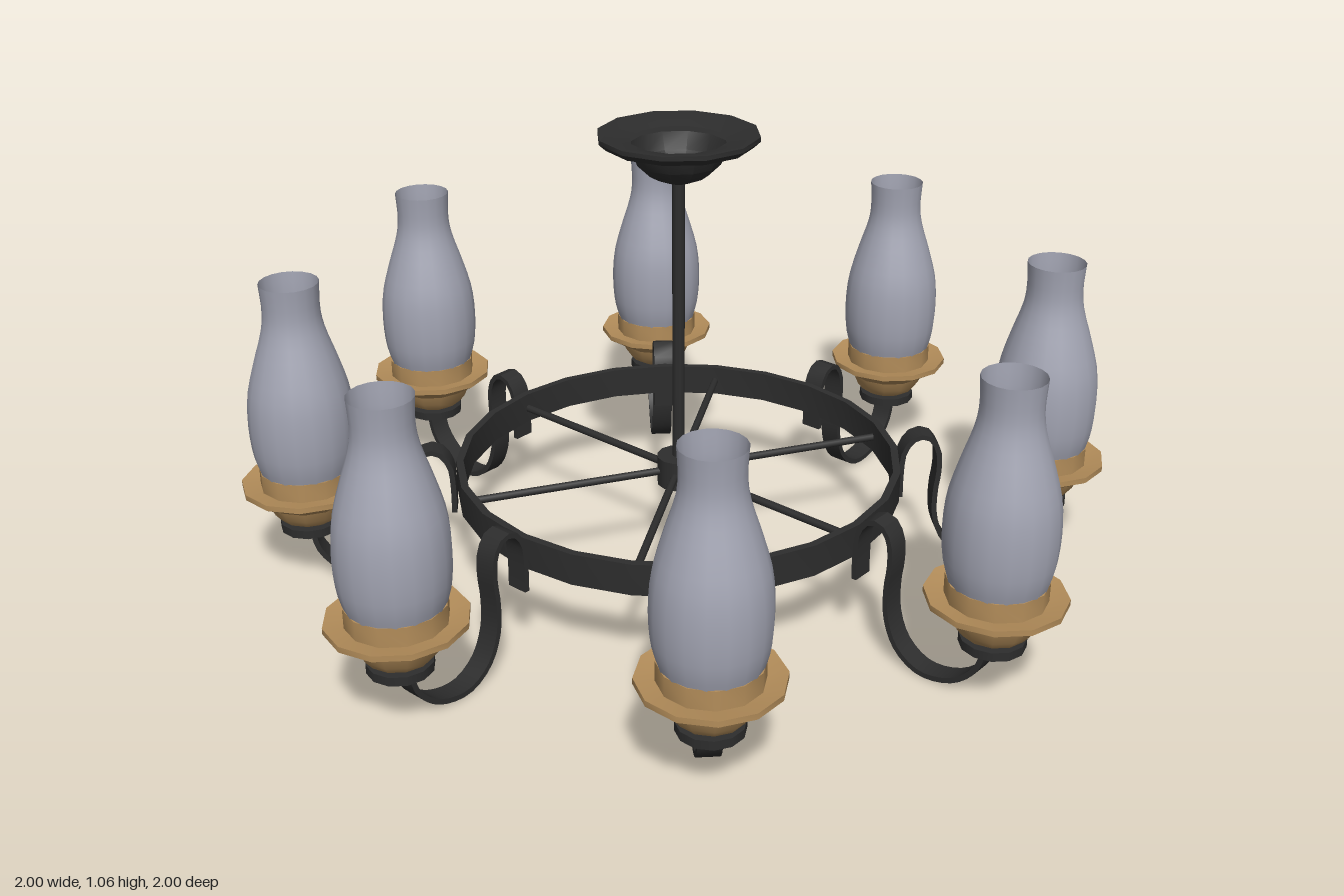
import * as THREE from 'three';
import { toCreasedNormals } from 'three/addons/utils/BufferGeometryUtils.js';

const mat = (name, color, side = THREE.FrontSide) => {
  const m = new THREE.MeshStandardMaterial({ color, side });
  m.name = name;
  return m;
};

const lathe = (pts, sides) =>
  new THREE.LatheGeometry(pts.map(([r, y]) => new THREE.Vector2(r, y)), sides);

// Flat strap following a path of [radius, height] points, centred on z = 0
function strapGeometry(points, thickness, width) {
  const curve = new THREE.CatmullRomCurve3(points.map(([x, y]) => new THREE.Vector3(x, y, 0)));
  const a = [], b = [], n = 36;
  for (let i = 0; i <= n; i++) {
    const p = curve.getPointAt(i / n), t = curve.getTangentAt(i / n);
    const ox = -t.y * thickness / 2, oy = t.x * thickness / 2;
    a.push(new THREE.Vector2(p.x + ox, p.y + oy));
    b.unshift(new THREE.Vector2(p.x - ox, p.y - oy));
  }
  const geo = new THREE.ExtrudeGeometry(new THREE.Shape([...a, ...b]), { depth: width, bevelEnabled: false });
  geo.translate(0, 0, -width / 2);
  return toCreasedNormals(geo, 0.6);
}

export function createModel() {
  const iron = mat('black iron', 0x2d2d2d);
  const ironSheet = mat('black iron', 0x2d2d2d, THREE.DoubleSide);
  ironSheet.name = 'black iron sheet';
  const brass = mat('brass', 0xb38d5a);
  const glass = mat('smoky glass', 0xa2a4b2, THREE.DoubleSide);

  const model = new THREE.Group();
  model.name = 'chandelier';
  const add = (parent, name, geo, material, x = 0, y = 0, z = 0) => {
    const m = new THREE.Mesh(geo, material);
    m.name = name;
    m.position.set(x, y, z);
    parent.add(m);
    return m;
  };

  // Ceiling canopy: an open dish with a deep bowl
  add(model, 'canopy', toCreasedNormals(lathe([
    [0, 0.952], [0.03, 0.953], [0.065, 0.968], [0.093, 0.995], [0.108, 1.033],
    [0.163, 1.036], [0.178, 1.05], [0.178, 1.06], [0.165, 1.06], [0.106, 1.045],
  ], 12), 0.6), ironSheet);

  // Rod and hub
  add(model, 'rod', new THREE.CylinderGeometry(0.014, 0.014, 0.71, 10), iron, 0, 0.605, 0);
  add(model, 'hub', new THREE.CylinderGeometry(0.05, 0.05, 0.07, 12), iron, 0, 0.255, 0);

  // Band ring with inner and outer walls
  add(model, 'ring', toCreasedNormals(lathe([
    [0.495, 0.22], [0.512, 0.22], [0.512, 0.293], [0.495, 0.293], [0.495, 0.22],
  ], 24), 0.5), iron);

  // Six spokes
  for (let i = 0; i < 6; i++) {
    const spoke = new THREE.Group();
    spoke.name = 'spoke';
    spoke.rotation.y = Math.PI / 6 + i * Math.PI / 3;
    const geo = new THREE.CylinderGeometry(0.009, 0.009, 0.47, 8).rotateZ(Math.PI / 2);
    add(spoke, 'spokeBar', geo, iron, 0.265, 0.255, 0);
    model.add(spoke);
  }

  // Shared arm and lamp geometries
  const armGeo = strapGeometry([
    [0.52, 0.172], [0.52, 0.24], [0.526, 0.29], [0.55, 0.322], [0.58, 0.324], [0.603, 0.295],
    [0.609, 0.24], [0.603, 0.18], [0.607, 0.11], [0.635, 0.048], [0.685, 0.014], [0.735, 0.013],
    [0.79, 0.035], [0.835, 0.085], [0.85, 0.15],
  ], 0.012, 0.05);
  const seatGeo = new THREE.CylinderGeometry(0.07, 0.07, 0.02, 12);
  const cupGeo = toCreasedNormals(lathe([
    [0, 0.158], [0.045, 0.158], [0.07, 0.172], [0.084, 0.19], [0.095, 0.215], [0.118, 0.23],
    [0.148, 0.248], [0.148, 0.261], [0.106, 0.253], [0.106, 0.296], [0, 0.296],
  ], 12), 0.55);
  const glassProfile = new THREE.SplineCurve([
    [0.103, 0.294], [0.114, 0.34], [0.118, 0.41], [0.112, 0.485], [0.092, 0.56],
    [0.07, 0.63], [0.063, 0.68], [0.066, 0.742],
  ].map(([r, y]) => new THREE.Vector2(r, y)));
  const glassGeo = new THREE.LatheGeometry(glassProfile.getPoints(18), 18);

  // Eight arms, each carrying a lamp
  for (let i = 0; i < 8; i++) {
    const arm = new THREE.Group();
    arm.name = 'lampArm';
    arm.rotation.y = i * Math.PI / 4;
    add(arm, 'scrollStrap', armGeo, iron);
    add(arm, 'lampSeat', seatGeo, iron, 0.852, 0.15, 0);
    add(arm, 'brassCup', cupGeo, brass, 0.852);
    add(arm, 'glassChimney', glassGeo, glass, 0.852);
    model.add(arm);
  }
  return model;
}
